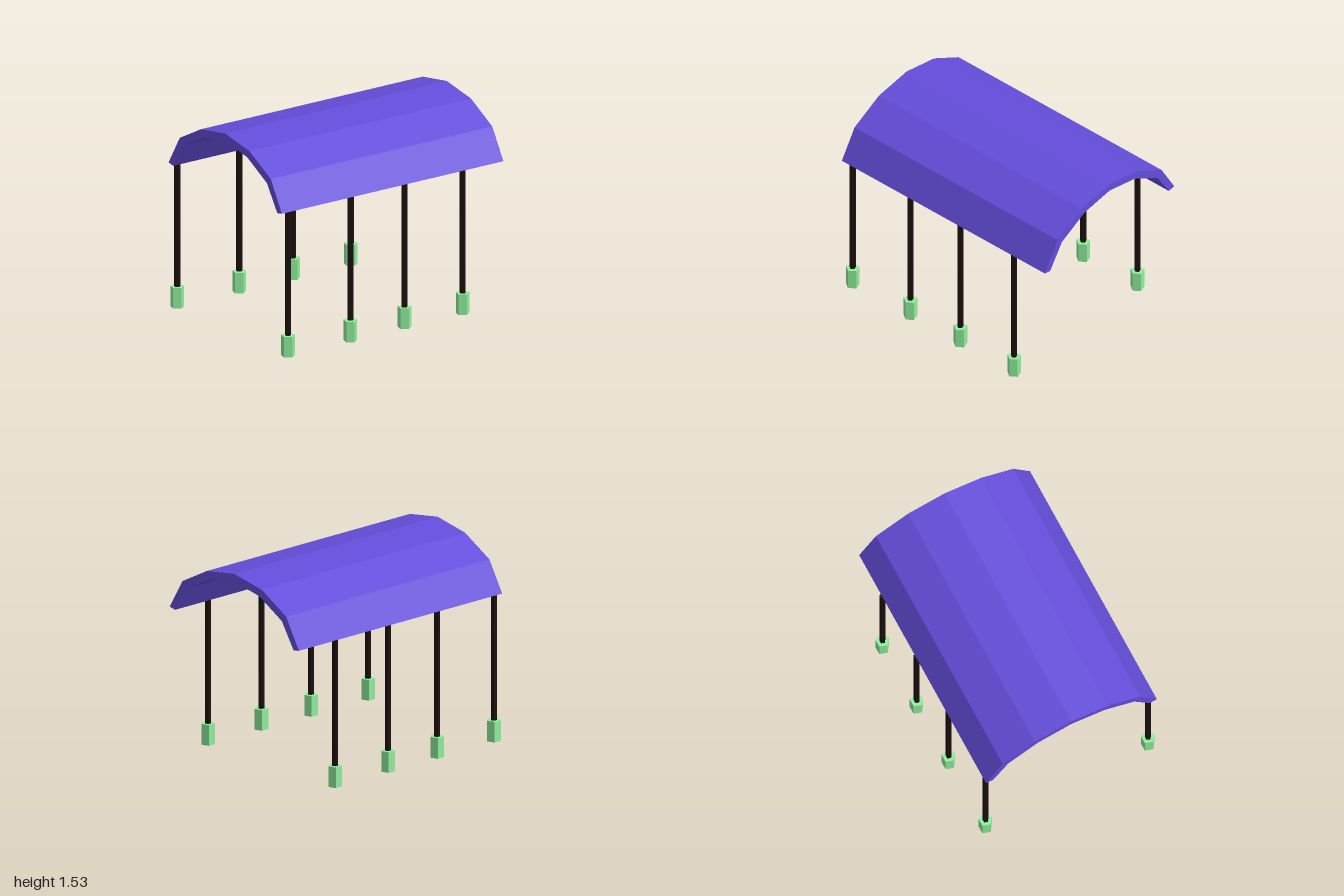
import * as THREE from 'three';

const material = (color) => {
  const m = new THREE.MeshStandardMaterial({ color, flatShading: true });
  return m;
};

export function createModel() {
  const model = new THREE.Group();
  model.name = 'archedShelter';
  const roofMat = material(0x654ddb);
  const postMat = material(0x1a0f0e);
  const baseMat = material(0x90ee9c);

  // Arched roof: half profiles mirrored into a closed band, extruded lengthwise
  const outer = [[0.697, 1.108], [0.56, 1.335], [0.297, 1.475]];
  const inner = [[0.64, 1.097], [0.513, 1.29], [0.27, 1.42]];
  const arch = (half, top) => [
    ...half,
    [0, top],
    ...half.map(([x, y]) => [-x, y]).reverse(),
  ];
  const band = [...arch(outer, 1.525), ...arch(inner, 1.467).reverse()];
  const shape = new THREE.Shape(band.map(([x, y]) => new THREE.Vector2(x, y)));
  const length = 1.98;
  const roofGeometry = new THREE.ExtrudeGeometry(shape, { depth: length, bevelEnabled: false });
  roofGeometry.translate(0, 0, -length / 2);
  const roof = new THREE.Mesh(roofGeometry, roofMat);
  roof.name = 'roof';
  roof.rotation.set(-0.002, -0.0145, 0); // sits very slightly askew
  model.add(roof);

  // Five-sided posts standing in five-sided footings
  const prism = (radius, y0, y1) =>
    new THREE.CylinderGeometry(radius, radius, y1 - y0, 5, 1, false, Math.PI / 2)
      .translate(0, (y0 + y1) / 2, 0);
  const postGeometry = prism(0.0235, 0.1, 1.108);
  const baseGeometry = prism(0.052, 0, 0.157);

  const rows = [0.92, 0.36, -0.125, -0.647];
  for (const side of ['right', 'left']) {
    rows.forEach((z, i) => {
      const support = new THREE.Group();
      support.name = `${side}Support${i + 1}`;
      const post = new THREE.Mesh(postGeometry, postMat);
      post.name = 'post';
      const base = new THREE.Mesh(baseGeometry, baseMat);
      base.name = 'footing';
      support.add(post, base);
      // the left row drifts outward a little toward the back
      support.position.set(side === 'right' ? -0.683 : 0.661 - 0.009 * z, 0, z);
      model.add(support);
    });
  }
  return model;
}
